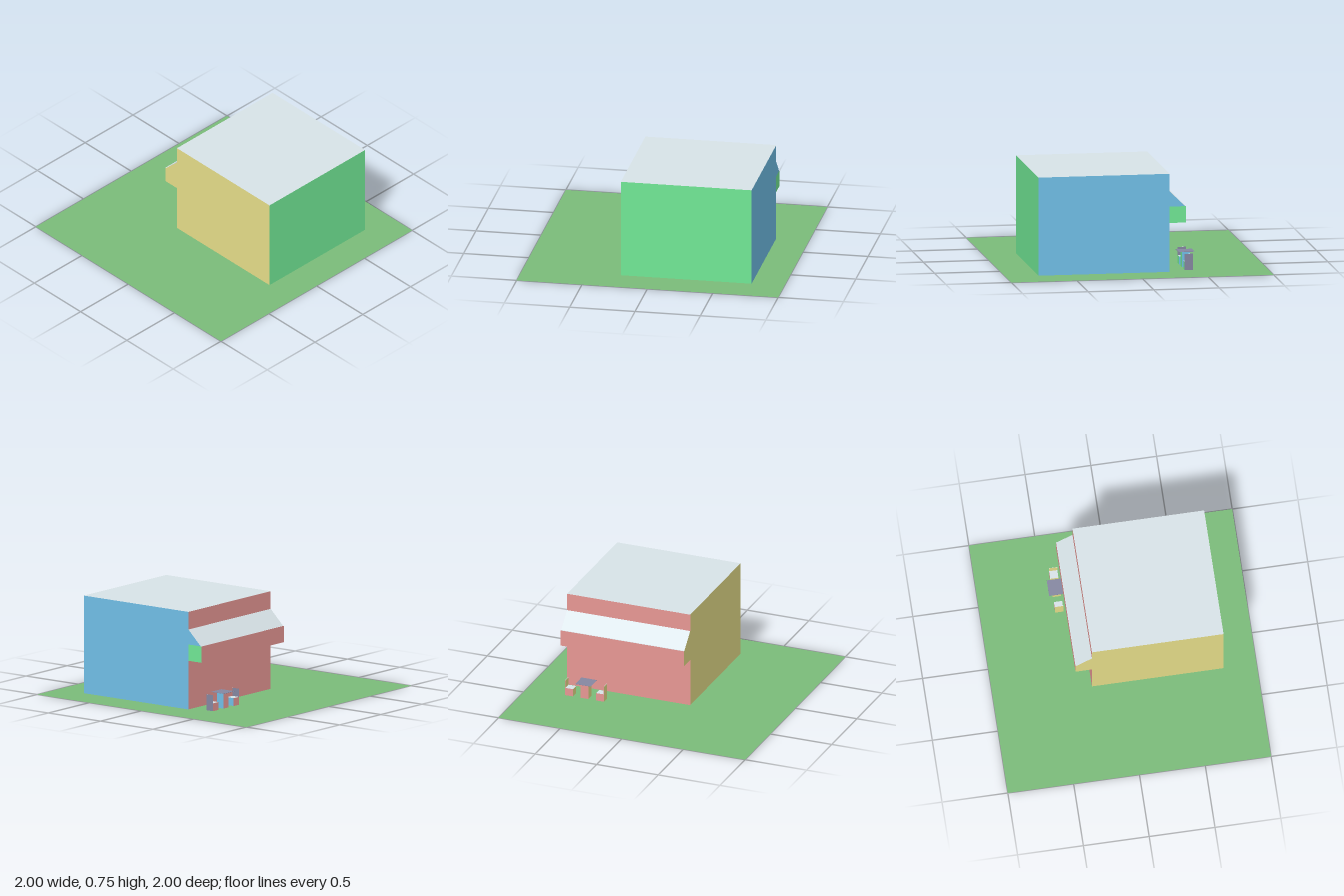
import * as THREE from 'three';

export function createModel() {
  const model = new THREE.Group();

  const mat = (name, color) => {
    const m = new THREE.MeshStandardMaterial({ color });
    m.name = name;
    return m;
  };
  const grass = mat('grass green', 0x7abb79);
  grass.side = THREE.DoubleSide;
  const green = mat('mint green', 0x7dfea4);
  const red = mat('salmon red', 0xffa7a4);
  const pale = mat('pale grey', 0xecf8fd);
  const slate = mat('slate', 0x8587a1);
  const yellow = mat('soft yellow', 0xfff699);
  const blue = mat('sky blue', 0x7dd3ff);

  // one colour per direction: +x, -x, +y, -y, +z, -z
  const sides = [green, red, pale, slate, yellow, blue];

  // box given by its extents on each axis
  function box(name, [x0, x1], [y0, y1], [z0, z1], materials = sides, parent = model) {
    const geometry = new THREE.BoxGeometry(x1 - x0, y1 - y0, z1 - z0);
    geometry.translate((x0 + x1) / 2, (y0 + y1) / 2, (z0 + z1) / 2);
    const mesh = new THREE.Mesh(geometry, materials);
    mesh.name = name;
    parent.add(mesh);
    return mesh;
  }

  // lawn
  const lawn = new THREE.Mesh(new THREE.PlaneGeometry(2, 2).rotateX(-Math.PI / 2), grass);
  lawn.name = 'lawn';
  model.add(lawn);

  // building
  const base = 0.002;
  const depth = [-0.75, 0.25];
  box('building', [-0.25, 0.75], [base, 0.75], depth);

  // awning: a ledge with a sloping roof over it
  const awning = new THREE.Group();
  awning.name = 'awning';
  model.add(awning);
  box('awningLedge', [-0.375, -0.25], [0.375, 0.5], depth,
    [green, red, pale, slate, yellow, green], awning);
  const slope = box('awningSlope', [-0.368, -0.25], [0.5, 0.615], depth, sides, awning);
  const p = slope.geometry.attributes.position;
  for (let i = 0; i < p.count; i++) {
    if (p.getX(i) < -0.3) p.setY(i, 0.5); // outer edge drops to the ledge
  }
  slope.geometry.computeVertexNormals();

  // table: thin top on a square post
  const table = new THREE.Group();
  table.name = 'table';
  model.add(table);
  const seatX = [-0.4375, -0.375];
  box('tablePost', seatX, [base, 0.123], [-0.5625, -0.5], sides, table);
  box('tableTop', [-0.469, -0.344], [0.123, 0.125], [-0.594, -0.469], slate, table);

  // two chairs facing the table, each a block seat with a thin back
  const backSides = [green, red, pale, slate, yellow, slate];
  for (const [name, z0, backZ] of [['backChair', -0.6875, -0.6875], ['frontChair', -0.4375, -0.375]]) {
    const chair = new THREE.Group();
    chair.name = name;
    model.add(chair);
    box('seat', seatX, [base, 0.0625], [z0, z0 + 0.0625], sides, chair);
    box('backrest', seatX, [base, 0.125], [backZ - 0.001, backZ + 0.001], backSides, chair);
  }

  return model;
}
